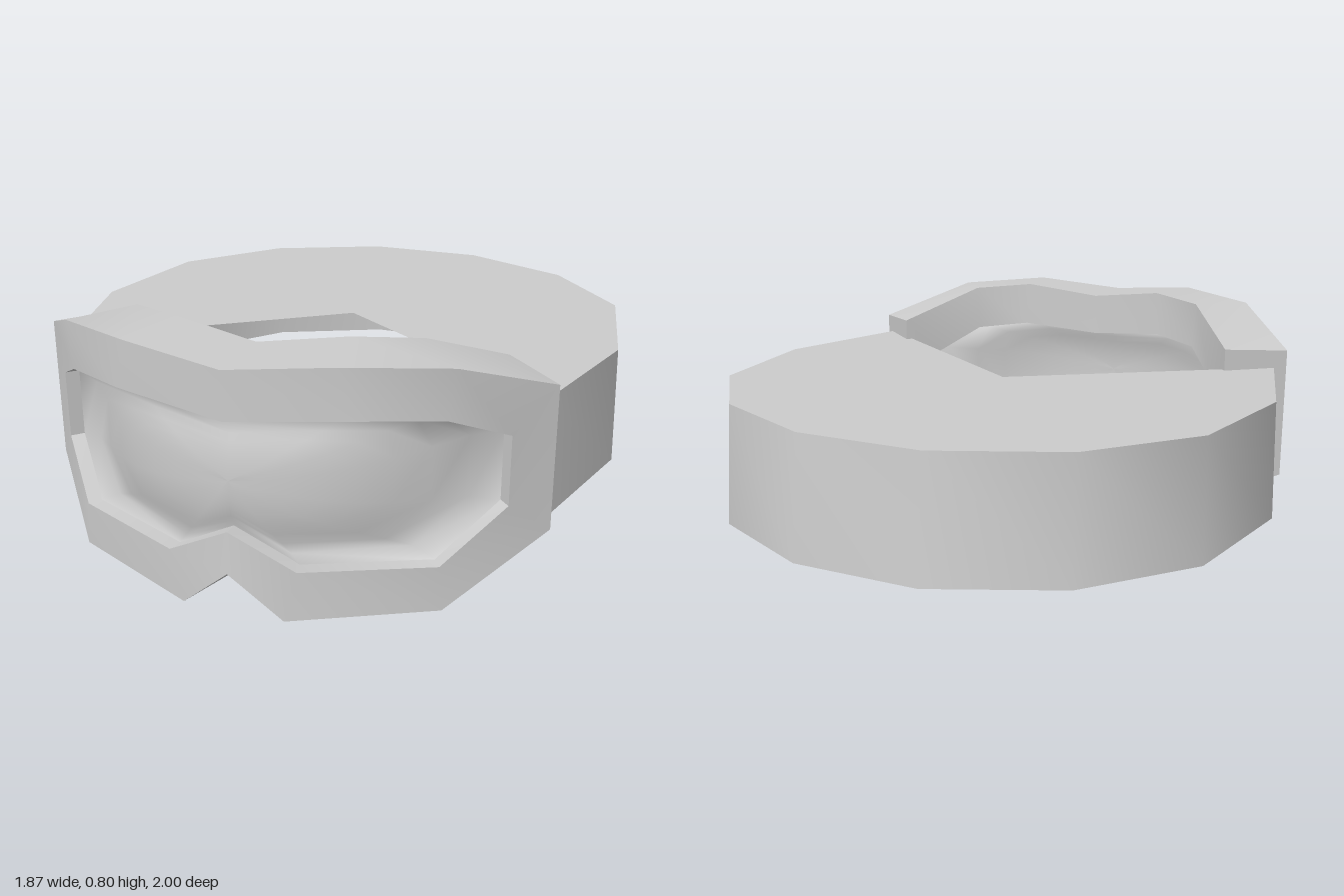
import * as THREE from 'three';
import { toCreasedNormals } from 'three/addons/utils/BufferGeometryUtils.js';

const material = new THREE.MeshStandardMaterial({ color: 0xcccccc });
const thinMaterial = new THREE.MeshStandardMaterial({ color: 0xcccccc, side: THREE.DoubleSide });

// Completes a right half (top centre to bottom centre) into a closed loop
function mirrorLoop(half) {
  const left = half.slice(1, -1).reverse().map(([x, y, z]) => [-x, y, z]);
  return [...half, ...left];
}

// Joins successive loops of equal length with quads
function skin(loops, { closed = true, ringClosed = false } = {}) {
  const n = loops[0].length;
  const index = [];
  const rows = ringClosed ? loops.length : loops.length - 1;
  for (let k = 0; k < rows; k++) {
    const next = (k + 1) % loops.length;
    for (let i = 0; i < (closed ? n : n - 1); i++) {
      const j = (i + 1) % n;
      const a = k * n + i, b = next * n + i, c = next * n + j, d = k * n + j;
      index.push(a, b, c, a, c, d);
    }
  }
  const geometry = new THREE.BufferGeometry();
  geometry.setAttribute('position', new THREE.Float32BufferAttribute(loops.flat(2), 3));
  geometry.setIndex(index);
  geometry.computeVertexNormals();
  return geometry;
}

function addMesh(group, name, geometry, mat) {
  const mesh = new THREE.Mesh(geometry, mat);
  mesh.name = name;
  group.add(mesh);
}

// Frame cross-section corners, right half
const frontOuter = mirrorLoop([
  [0, 0.76, 0.99], [0.32, 0.79, 0.94], [0.6, 0.77, 0.79], [0.83, 0.655, 0.52],
  [0.83, 0.195, 0.52], [0.58, 0.03, 0.8], [0.16, 0, 0.965], [0, 0.14, 0.995],
]);
const frontInner = mirrorLoop([
  [0, 0.61, 0.99], [0.36, 0.637, 0.925], [0.58, 0.62, 0.8], [0.725, 0.53, 0.635],
  [0.725, 0.31, 0.635], [0.57, 0.17, 0.8], [0.2, 0.165, 0.96], [0, 0.27, 0.985],
]);
const backOuter = mirrorLoop([
  [0, 0.76, 0.75], [0.27, 0.795, 0.71], [0.46, 0.78, 0.61], [0.65, 0.67, 0.365],
  [0.65, 0.14, 0.365], [0.45, 0.03, 0.61], [0.1, 0.005, 0.74], [0, 0.07, 0.75],
]);
const backInner = mirrorLoop([
  [0, 0.61, 0.75], [0.28, 0.637, 0.7], [0.45, 0.62, 0.61], [0.57, 0.53, 0.47],
  [0.57, 0.31, 0.47], [0.45, 0.17, 0.61], [0.15, 0.165, 0.73], [0, 0.26, 0.75],
]);

// Lens: concentric rings inside the frame opening, bulging forward
function lensGeometry() {
  const edge = frontInner.map((p, i) => p.map((v, c) => THREE.MathUtils.lerp(v, backInner[i][c], 0.2)));
  const loops = [];
  for (let k = 0; k <= 8; k++) {
    const s = 1 - k / 8;
    loops.push(edge.map(([ex, ey, ez]) => {
      const x = ex * s, y = 0.42 + (ey - 0.42) * s;
      const bulge = 0.965 - 0.78 * x * x - 0.6 * (y - 0.42) ** 2;
      return [x, y, THREE.MathUtils.lerp(bulge, ez, s ** 6)];
    }));
  }
  return skin(loops);
}

export function createModel() {
  const model = new THREE.Group();
  model.name = 'goggles';

  // Curved frame, a closed four-sided section
  const frame = skin([backOuter, frontOuter, frontInner, backInner], { ringClosed: true });
  addMesh(model, 'frame', toCreasedNormals(frame, 0.7), material);
  addMesh(model, 'lens', lensGeometry(), thinMaterial);

  // Head strap, leaning in slightly at the back
  const half = [[0.8, 0.505], [0.935, 0], [0.86, -0.49], [0.595, -0.82], [0.21, -1]];
  const path = [...half, ...half.slice().reverse().map(([x, z]) => [-x, z])];
  const lower = path.map(([x, z]) => [x, 0.21, z]);
  const upper = path.map(([x, z]) => [x * 0.99, 0.595, z * (z < 0 ? 0.96 : 0.98)]);
  addMesh(model, 'strap', skin([upper, lower], { closed: false }), thinMaterial);

  // Flat sheet across the top of the strap, fanned from one point
  const centre = upper.map(() => [0, 0.595, -0.07]);
  addMesh(model, 'strapTop', skin([centre, upper], { closed: false }), thinMaterial);

  return model;
}
